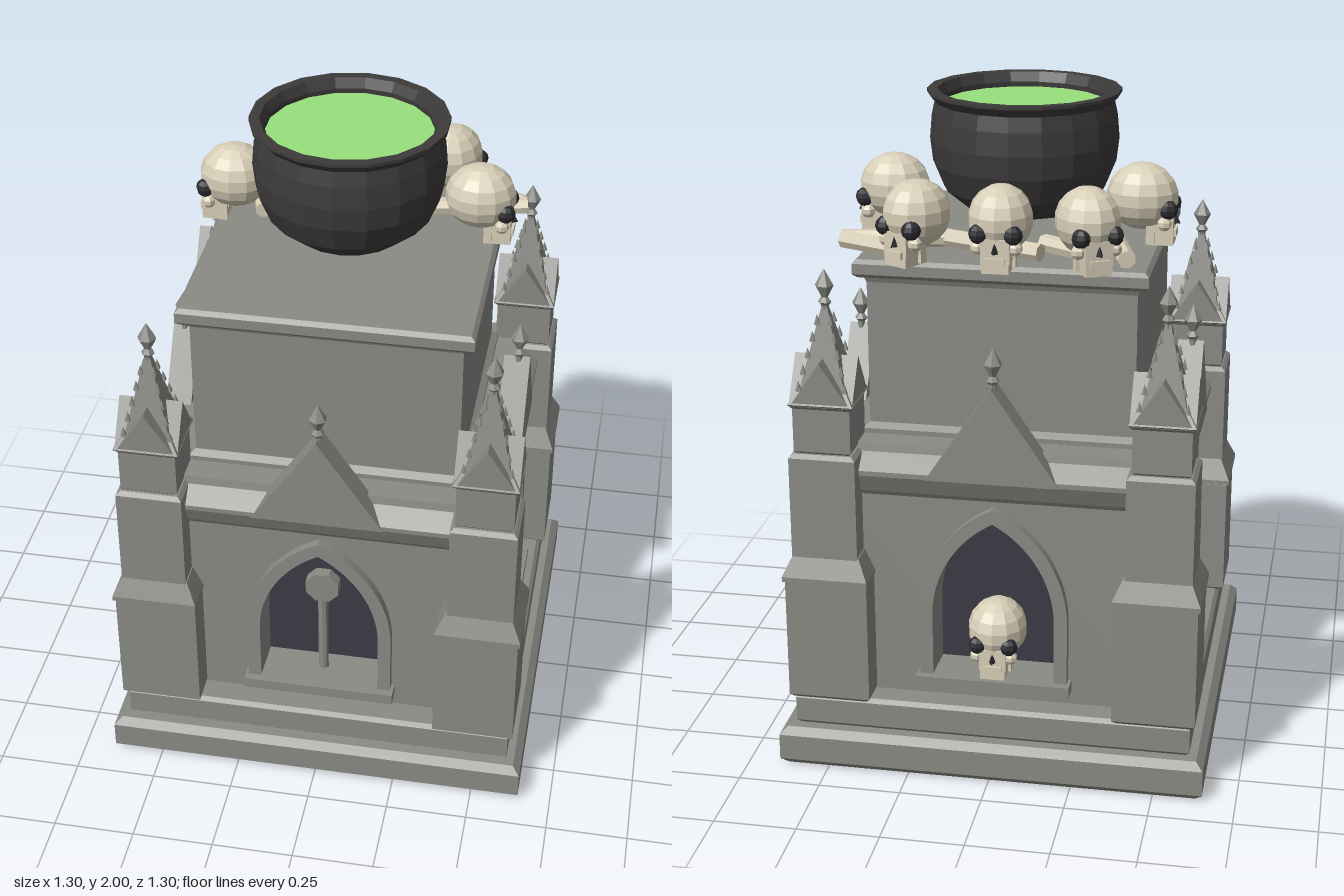
import * as THREE from 'three';

const mat = (color, flatShading = true) =>
  new THREE.MeshStandardMaterial({ color, flatShading, side: THREE.DoubleSide });
const stone = mat(0x8a8b85), dark = mat(0x3c3a44), iron = mat(0x3d3a3a);
const bone = mat(0xd8cfb8), socket = mat(0x2c2b30), brew = mat(0x98e07c);

function add(parent, name, geometry, material, x = 0, y = 0, z = 0) {
  const mesh = new THREE.Mesh(geometry, material);
  mesh.name = name;
  mesh.position.set(x, y, z);
  parent.add(mesh);
  return mesh;
}
const box = (w, h, d) => new THREE.BoxGeometry(w, h, d);
const lathe = (profile, sides, phi = 0) =>
  new THREE.LatheGeometry(profile.map(([r, y]) => new THREE.Vector2(r, y)), sides, phi);
const extrude = (shape, depth) =>
  new THREE.ExtrudeGeometry(shape, { depth, bevelEnabled: false, curveSegments: 10 });

// Square tower from [half width, height] pairs, closed at both ends
function squareStack(rows) {
  const p = rows.map(([h, y]) => [h * Math.SQRT2, y]);
  return lathe([[0, rows[0][1]], ...p, [0, rows.at(-1)[1]]], 4, Math.PI / 4);
}
// Square block with chamfered top and bottom edges
const block = (h, y0, y1, c = 0.012) =>
  squareStack([[h - c, y0], [h, y0 + c], [h, y1 - c], [h - c, y1]]);

// Pointed arch outline
function arch(w, y0, spring, apex) {
  const rise = apex - spring;
  const cx = (w * w - rise * rise) / (2 * w), r = w - cx;
  const a = Math.atan2(rise, -cx);
  const s = new THREE.Shape();
  s.moveTo(-w, y0);
  s.lineTo(w, y0);
  s.lineTo(w, spring);
  s.absarc(cx, spring, r, 0, a, false);
  s.absarc(-cx, spring, r, Math.PI - a, Math.PI, false);
  s.closePath();
  return s;
}
function triangle(w, y0, y1) {
  const s = new THREE.Shape();
  s.moveTo(-w, y0);
  s.lineTo(w, y0);
  s.lineTo(0, y1);
  s.closePath();
  return s;
}
const finial = () => lathe(
  [[0, 0], [0.012, 0], [0.012, 0.025], [0.02, 0.035], [0.01, 0.05], [0.028, 0.085], [0, 0.135]], 6);

// One face of the shrine: wall with niche, frame, sill, gable
function createSide(withMullion) {
  const g = new THREE.Group();
  g.name = 'nicheSide';
  const wall = new THREE.Shape([[-0.5, 0.22], [0.5, 0.22], [0.5, 0.9], [-0.5, 0.9]]
    .map(([x, y]) => new THREE.Vector2(x, y)));
  wall.holes.push(arch(0.185, 0.3, 0.5, 0.81));
  add(g, 'wall', extrude(wall, 0.12), stone, 0, 0, 0.4);
  const frame = arch(0.225, 0.28, 0.5, 0.855);
  frame.holes.push(arch(0.185, 0.3, 0.5, 0.81));
  add(g, 'archFrame', extrude(frame, 0.04), stone, 0, 0, 0.51);
  add(g, 'nichePanel', box(0.42, 0.6, 0.02), dark, 0, 0.56, 0.4);
  add(g, 'sill', box(0.47, 0.035, 0.1), stone, 0, 0.287, 0.525);
  add(g, 'gable', extrude(triangle(0.2, 0.94, 1.235), 0.08), stone, 0, 0, 0.48);
  add(g, 'gableFinial', finial(), stone, 0, 1.215, 0.525);
  if (withMullion) {
    add(g, 'mullion', new THREE.CylinderGeometry(0.016, 0.016, 0.32, 8), stone, 0, 0.46, 0.47);
    add(g, 'rosette', new THREE.CylinderGeometry(0.055, 0.055, 0.035, 8), stone, 0, 0.635, 0.47)
      .rotation.set(Math.PI / 2, Math.PI / 8, 0);
  }
  return g;
}

// Corner buttress with gabled pinnacle
function createButtress() {
  const g = new THREE.Group();
  g.name = 'cornerButtress';
  add(g, 'lowerShaft', block(0.125, 0.22, 0.62), stone, -0.005, 0, -0.005);
  add(g, 'weathering', squareStack([[0.13, 0.61], [0.13, 0.625], [0.1, 0.69]]), stone, -0.003, 0, -0.003);
  add(g, 'upperShaft', block(0.1, 0.67, 1.01), stone);
  add(g, 'pinnacleBlock', block(0.086, 1.005, 1.165), stone);
  add(g, 'pinnacleLedge', squareStack([[0.086, 1.15], [0.098, 1.165], [0.075, 1.2]]), stone);
  for (let i = 0; i < 2; i++) {
    const gablet = add(g, 'gablet', extrude(triangle(0.09, 1.16, 1.295), 0.19).translate(0, 0, -0.095), stone);
    gablet.rotation.y = i * Math.PI / 2;
  }
  const half = 0.073, y0 = 1.18, y1 = 1.46;
  add(g, 'spire', squareStack([[half, y0], [0.004, y1]]), stone);
  add(g, 'spireFinial', finial(), stone, 0, 1.42, 0);
  // Crockets climb the four spire edges
  for (let k = 0; k < 4; k++) {
    for (let j = 0; j < 5; j++) {
      const t = 0.1 + j * 0.17, a = Math.PI / 4 + k * Math.PI / 2;
      const r = half * Math.SQRT2 * (1 - t) + 0.005;
      add(g, 'crocket', new THREE.ConeGeometry(0.01, 0.032, 5), stone,
        r * Math.sin(a), y0 + t * (y1 - y0) + 0.008, r * Math.cos(a));
    }
  }
  return g;
}

// Skull facing +z, origin at the cranium centre
function createSkull() {
  const g = new THREE.Group();
  g.name = 'skull';
  add(g, 'cranium', new THREE.SphereGeometry(0.1, 12, 9), bone, 0, 0.01, 0).scale.set(0.95, 1, 1.08);
  add(g, 'face', box(0.085, 0.07, 0.07), bone, 0, -0.065, 0.062);
  add(g, 'jaw', box(0.08, 0.03, 0.075), bone, 0, -0.115, 0.06);
  add(g, 'teeth', box(0.058, 0.022, 0.02), bone, 0, -0.094, 0.095);
  add(g, 'nose', new THREE.ConeGeometry(0.015, 0.03, 3), socket, 0, -0.055, 0.1);
  for (const s of [-1, 1]) {
    add(g, 'eyeSocket', new THREE.SphereGeometry(0.029, 8, 6), socket, s * 0.05, -0.018, 0.082);
    add(g, 'cheekbone', new THREE.SphereGeometry(0.022, 7, 5), bone, s * 0.055, -0.06, 0.072);
    add(g, 'jawHinge', box(0.015, 0.06, 0.025), bone, s * 0.043, -0.095, 0.03);
  }
  return g;
}

export function createModel() {
  const model = new THREE.Group();
  model.name = 'shrineWithCauldron';

  // Stepped base, cornice, upper block and slab
  add(model, 'plinth', block(0.65, 0, 0.125, 0.022), stone);
  add(model, 'step', block(0.605, 0.125, 0.225), stone);
  add(model, 'nicheFloor', box(1, 0.06, 1), stone, 0, 0.25, 0);
  add(model, 'cornice', squareStack(
    [[0.52, 0.87], [0.53, 0.885], [0.555, 0.94], [0.555, 0.955], [0.505, 1], [0.5, 1.025]]), stone);
  add(model, 'upperBlock', squareStack(
    [[0.42, 1.02], [0.42, 1.04], [0.4, 1.055], [0.4, 1.49], [0.41, 1.515]]), stone);
  add(model, 'topSlab', block(0.435, 1.51, 1.565), stone);

  // Four faces and four corners
  for (let k = 0; k < 4; k++) {
    const side = createSide(k !== 2);
    side.rotation.y = k * Math.PI / 2;
    model.add(side);
    const corner = new THREE.Group();
    corner.name = 'corner';
    const buttress = createButtress();
    buttress.position.set(0.5, 0, 0.5);
    corner.add(buttress);
    corner.rotation.y = k * Math.PI / 2;
    model.add(corner);
  }

  // Cauldron, open at the top, and its brew
  add(model, 'cauldron', lathe([[0, 1.61], [0.09, 1.615], [0.17, 1.637], [0.245, 1.7], [0.278, 1.78],
    [0.286, 1.85], [0.28, 1.92], [0.27, 1.965], [0.293, 1.99], [0.293, 2], [0.262, 2], [0.248, 1.97],
    [0.25, 1.92]], 18), iron);
  add(model, 'brew', new THREE.CylinderGeometry(0.25, 0.25, 0.01, 18), brew, 0, 1.95, 0);

  // Skulls around the back: x, y, z, heading, scale
  const skulls = [
    [-0.375, 1.705, -0.12, -Math.PI / 2, 1], [-0.25, 1.69, -0.38, -Math.PI + 0.5, 1],
    [0, 1.69, -0.395, Math.PI, 1], [0.25, 1.69, -0.38, Math.PI - 0.5, 1],
    [0.375, 1.705, -0.12, Math.PI / 2, 1], [0, 0.43, -0.47, Math.PI, 0.95],
  ];
  for (const [x, y, z, heading, scale] of skulls) {
    const skull = createSkull();
    skull.position.set(x, y, z);
    skull.rotation.y = heading;
    skull.scale.setScalar(scale);
    model.add(skull);
  }

  // Loose bones lying on the slab: x and z of both ends
  const bones = [
    [-0.365, -0.39, -0.29, -0.13], [-0.27, -0.36, -0.1, -0.25], [-0.11, -0.36, 0.2, -0.24],
    [0.18, -0.24, 0.5, -0.3], [0.24, -0.42, 0.49, -0.31],
  ];
  for (const [x0, z0, x1, z1] of bones) {
    const dir = new THREE.Vector3(x1 - x0, 0, z1 - z0);
    const shaft = add(model, 'bone', new THREE.CylinderGeometry(0.027, 0.027, dir.length(), 7), bone,
      (x0 + x1) / 2, 1.592, (z0 + z1) / 2);
    shaft.quaternion.setFromUnitVectors(new THREE.Vector3(0, 1, 0), dir.normalize());
  }
  return model;
}
